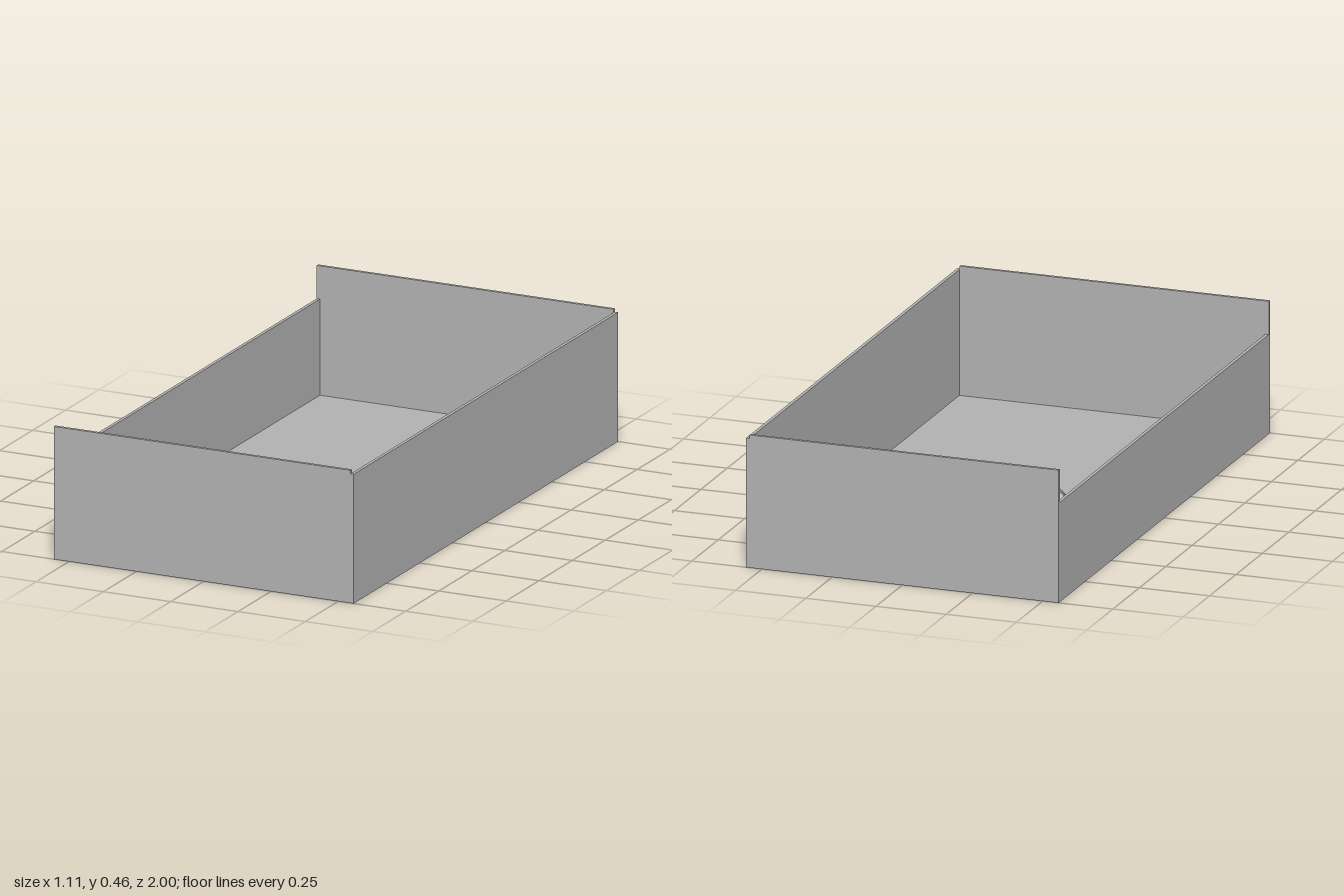
import * as THREE from 'three';

export function createModel() {
  const group = new THREE.Group();
  const grey = new THREE.MeshStandardMaterial({ color: 0xb2b2b2 });
  grey.name = 'grey';

  const T = 0.012; // sheet thickness
  const W = 1.114; // width
  const L = 2; // length
  const END_H = 0.464; // end wall height
  const LEFT_H = 0.452; // tall side wall
  const RIGHT_H = 0.348; // low side wall

  const add = (name, geometry, x, y, z) => {
    const mesh = new THREE.Mesh(geometry, grey);
    mesh.name = name;
    mesh.position.set(x, y, z);
    group.add(mesh);
    return mesh;
  };

  // Floor plate with a round opening
  const plate = new THREE.Shape();
  plate.moveTo(-W / 2, -L / 2);
  plate.lineTo(W / 2, -L / 2);
  plate.lineTo(W / 2, L / 2);
  plate.lineTo(-W / 2, L / 2);
  plate.closePath();
  const hole = new THREE.Path();
  hole.absarc(0.015, 0.003, 0.206, 0, Math.PI * 2, true);
  plate.holes.push(hole);
  const floor = new THREE.ExtrudeGeometry(plate, { depth: T, bevelEnabled: false, curveSegments: 32 });
  floor.rotateX(-Math.PI / 2);
  add('floor', floor, 0, 0, 0);

  // Tall left side wall, covering the ends of the end walls
  add('leftWall', new THREE.BoxGeometry(T, LEFT_H - T, L), W / 2 - T / 2, (LEFT_H + T) / 2, 0);

  // Low right side wall, fitted between the end walls
  add('rightWall', new THREE.BoxGeometry(T, RIGHT_H - T, L - 2 * T), -W / 2 + T / 2, (RIGHT_H + T) / 2, 0);

  // Front and back end walls
  for (const [name, side] of [['frontWall', 1], ['backWall', -1]]) {
    add(name, new THREE.BoxGeometry(W - T, END_H - T, T), -T / 2, (END_H + T) / 2, side * (L / 2 - T / 2));
  }

  return group;
}
